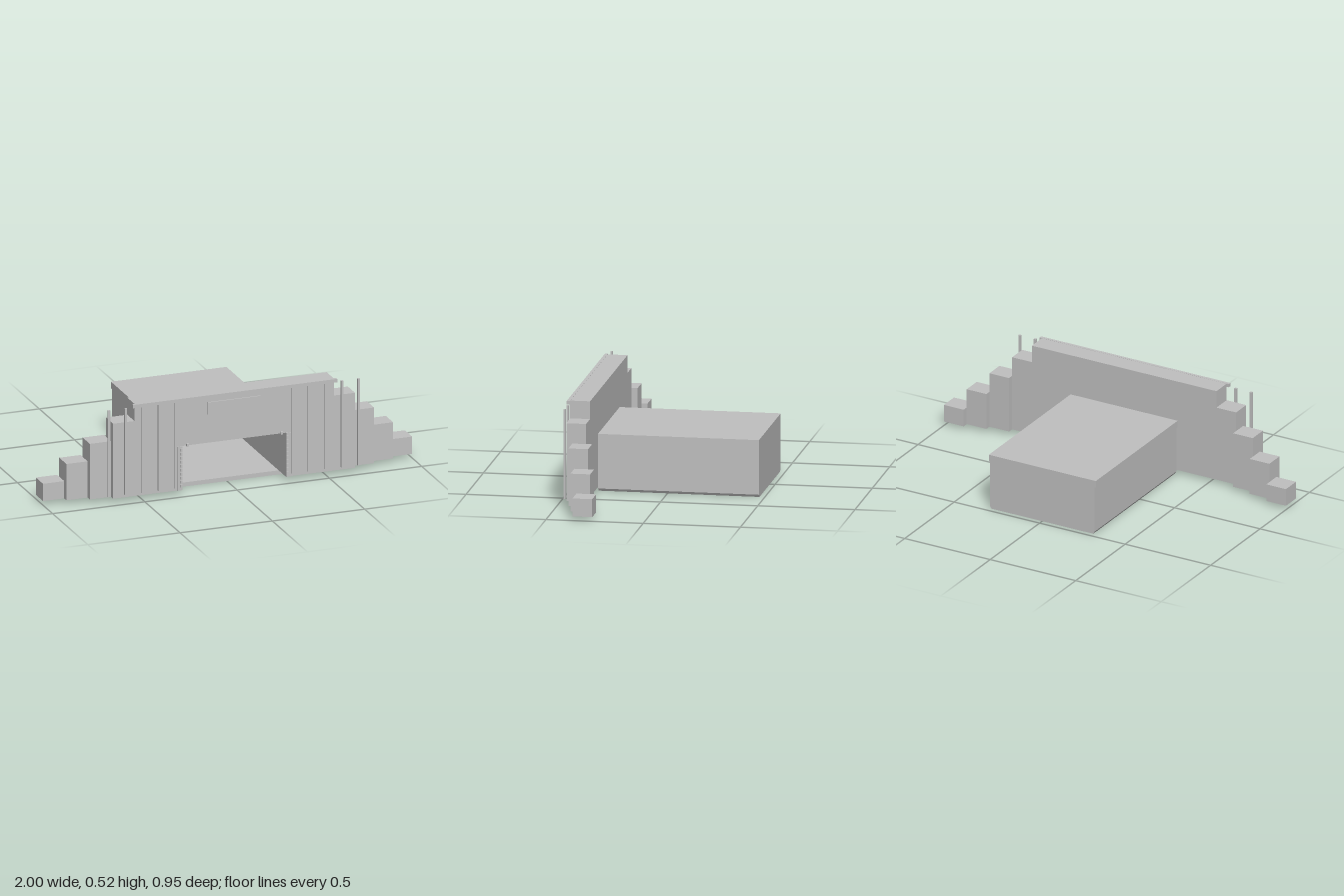
import * as THREE from 'three';

export function createModel() {
  const model = new THREE.Group();
  const concrete = new THREE.MeshStandardMaterial({ color: 0xc0c0c0, side: THREE.DoubleSide });
  concrete.name = 'concrete grey';

  const add = (name, geometry) => {
    const mesh = new THREE.Mesh(geometry, concrete);
    mesh.name = name;
    model.add(mesh);
    return mesh;
  };

  // Box from its limits; the bottom face can be left out for hollow blocks
  const block = (name, x0, x1, y0, y1, z0, z1, openBottom = false) => {
    const g = new THREE.BoxGeometry(x1 - x0, y1 - y0, z1 - z0);
    if (openBottom) {
      const index = Array.from(g.index.array);
      index.splice(18, 6);
      g.setIndex(index);
      g.clearGroups();
    }
    g.translate((x0 + x1) / 2, (y0 + y1) / 2, (z0 + z1) / 2);
    return add(name, g);
  };

  const base = 0.022;
  const back = 0.355;
  const front = 0.457;
  const opening = 0.28;

  // Portal wall: two hollow piers and a lintel around the opening
  for (const s of [-1, 1]) {
    const [a, b] = s < 0 ? [-0.54, -opening] : [opening, 0.54];
    block('portalPier', a, b, base, 0.517, back, front, true);
  }
  block('portalLintel', -opening, opening, 0.258, 0.517, back, front);
  block('coping', -0.553, 0.553, 0.5, 0.518, front, 0.473);
  block('headPanel', -0.31, 0.305, 0.275, 0.497, front, 0.462);
  block('nameBoard', -0.145, 0.14, 0.413, 0.478, 0.462, 0.469);

  // Wing walls step down and back on both sides
  const heights = [0.425, 0.321, 0.217, 0.115];
  for (const s of [-1, 1]) {
    heights.forEach((h, i) => {
      const inner = 0.54 + i * 0.115;
      const outer = inner + 0.115;
      const z = [0.355, 0.324, 0.293, 0.262][i];
      const [a, b] = s < 0 ? [-outer, -inner] : [inner, outer];
      block('wingStep', a, b, base, h, z, z + 0.102, true);
    });
  }

  // Slim vertical ribs along the front, the outer ones standing free
  for (let i = 0; i < 5; i++) {
    for (const x of [-0.318 - i * 0.0908, 0.313 + i * 0.0898]) {
      block('rib', x - 0.006, x + 0.006, 0.037, 0.502, front, 0.468);
    }
  }

  // Door jambs with a row of small studs, and a lamp at each top corner
  for (const s of [-1, 1]) {
    const jamb = s * 0.294;
    block('doorJamb', jamb - 0.013, jamb + 0.013, base, 0.258, front, 0.461);
    for (let i = 0; i < 10; i++) {
      const y = 0.04 + i * 0.0215;
      const x = s * 0.287;
      block('jambStud', x - 0.005, x + 0.005, y, y + 0.012, 0.461, 0.465);
    }
    block('lamp', s * 0.255 - 0.005, s * 0.255 + 0.005, 0.255, 0.27, front, 0.47);
  }

  // Tunnel shell: chamfered base, straight walls and an overhanging roof
  const outline = [
    [-0.298, 0], [0.298, 0], [0.306, 0.013], [0.306, 0.262],
    [0.313, 0.262], [0.313, 0.298], [-0.313, 0.298],
    [-0.313, 0.262], [-0.306, 0.262], [-0.306, 0.013],
  ];
  const section = new THREE.Shape(outline.map(([x, y]) => new THREE.Vector2(x, y)));
  const hollow = [[-opening, base], [-opening, 0.258], [opening, 0.258], [opening, base]];
  section.holes.push(new THREE.Path(hollow.map(([x, y]) => new THREE.Vector2(x, y))));
  const shell = new THREE.ExtrudeGeometry(section, { depth: 0.828, bevelEnabled: false });
  shell.translate(0, 0, -0.473);
  add('tunnelShell', shell);

  // End wall closing the tunnel, and the sill under the opening
  block('tunnelEndWall', -opening, opening, base, 0.258, -0.473, -0.455);
  return model;
}
